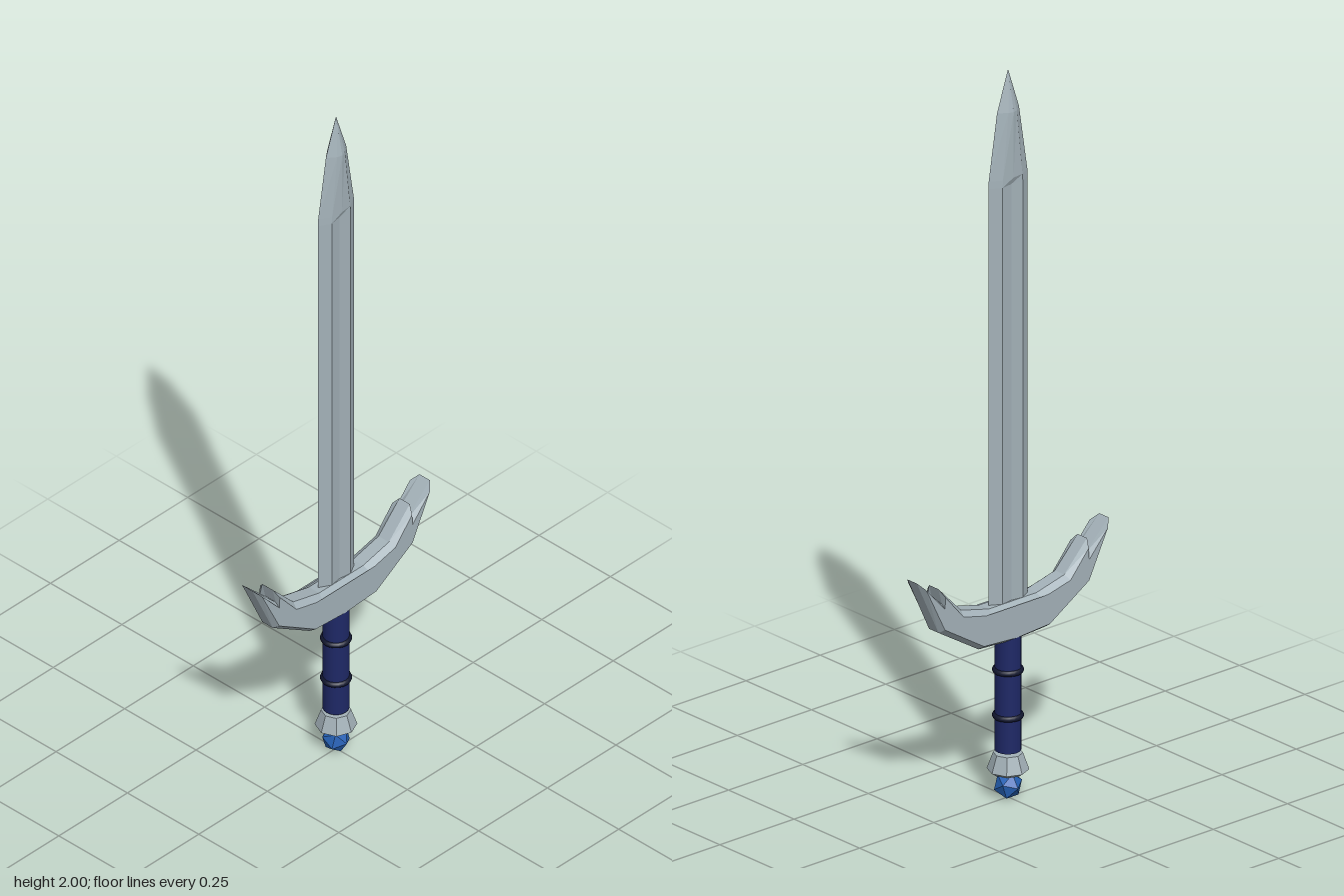
import * as THREE from 'three';

const mat = (color, flatShading = true) => {
  const m = new THREE.MeshStandardMaterial({ color, flatShading });
  return m;
};
const steel = mat(0xa3b1b8), navy = mat(0x1e2866, false), dark = mat(0x11162e, false), blue = mat(0x2560b4);

function part(name, geometry, material, y = 0) {
  const mesh = new THREE.Mesh(geometry, material);
  mesh.name = name;
  mesh.position.y = y;
  return mesh;
}

// Blade: eight-point cross-sections lofted upward to the point.
function bladeGeometry() {
  // y, half width, bevel line x, bevel line z, centre z
  const sections = [
    [0.48, 0.066, 0.034, 0.018, 0.013],
    [1.69, 0.066, 0.034, 0.018, 0.013],
    [1.71, 0.065, 0.033, 0.018, 0.021],
    [1.89, 0.037, 0.014, 0.018, 0.022],
    [2.0, 0.0005, 0.0003, 0.0003, 0.0005],
  ];
  const pos = [], index = [], n = 8;
  for (const [y, w, bx, bz, c] of sections) {
    const ring = [[w, 0], [bx, bz], [0, c], [-bx, bz], [-w, 0], [-bx, -bz], [0, -c], [bx, -bz]];
    for (const [x, z] of ring) pos.push(x, y, z);
  }
  for (let s = 0; s < sections.length - 1; s++) {
    for (let i = 0; i < n; i++) {
      const a = s * n + i, b = s * n + (i + 1) % n;
      index.push(a, a + n, b, b, a + n, b + n);
    }
  }
  const g = new THREE.BufferGeometry();
  g.setAttribute('position', new THREE.Float32BufferAttribute(pos, 3));
  g.setIndex(index);
  g.computeVertexNormals();
  return g;
}

// Guard: forked crescent, its front and back outlines drawn in to form chamfers.
function guardGeometry() {
  // outline x, y and the matching chamfered x, y (left half, bottom to top)
  const half = [
    [0.115, 0.447, 0.111, 0.459],
    [0.25, 0.53, 0.243, 0.541],
    [0.323, 0.686, 0.306, 0.668],
    [0.239, 0.606, 0.243, 0.598],
    [0.25, 0.65, 0.241, 0.63],
    [0.174, 0.571, 0.18, 0.559],
    [0.08, 0.548, 0.084, 0.536],
  ];
  const mirrored = half.map(([x, y, u, v]) => [-x, y, -u, v]).reverse();
  const outline = [[0, 0.44, 0, 0.452], ...half, ...mirrored];
  const shape = new THREE.Shape(outline.map(([x, y]) => new THREE.Vector2(x, y)));
  const g = new THREE.ExtrudeGeometry(shape, { depth: 3, steps: 3, bevelEnabled: false });
  const p = g.attributes.position, layers = [-0.035, -0.018, 0.018, 0.035];
  for (let i = 0; i < p.count; i++) {
    const layer = Math.round(p.getZ(i));
    const o = outline.find(q => Math.hypot(q[0] - p.getX(i), q[1] - p.getY(i)) < 1e-4);
    if (layer === 0 || layer === 3) p.setXY(i, o[2], o[3]);
    p.setZ(i, layers[layer]);
  }
  g.computeVertexNormals();
  return g;
}

export function createModel() {
  const sword = new THREE.Group();
  sword.name = 'sword';
  sword.add(part('blade', bladeGeometry(), steel));
  sword.add(part('guard', guardGeometry(), steel));

  // Grip with two binding rings
  sword.add(part('grip', new THREE.CylinderGeometry(0.034, 0.034, 0.33, 20), navy, 0.3));
  for (const y of [0.355, 0.23]) {
    const ring = new THREE.TorusGeometry(0.033, 0.008, 8, 20).rotateX(Math.PI / 2);
    sword.add(part('gripRing', ring, dark, y));
  }

  // Flared octagonal collar holding the gem
  const profile = [[0, 0.127], [0.038, 0.127], [0.054, 0.082], [0.04, 0.072], [0, 0.072]]
    .reverse().map(([r, y]) => new THREE.Vector2(r, y));
  sword.add(part('pommelCollar', new THREE.LatheGeometry(profile, 8), steel));

  const gem = new THREE.IcosahedronGeometry(0.038, 0).rotateX(Math.atan(2 / (1 + Math.sqrt(5))));
  sword.add(part('pommelGem', gem, blue, 0.038));
  return sword;
}
